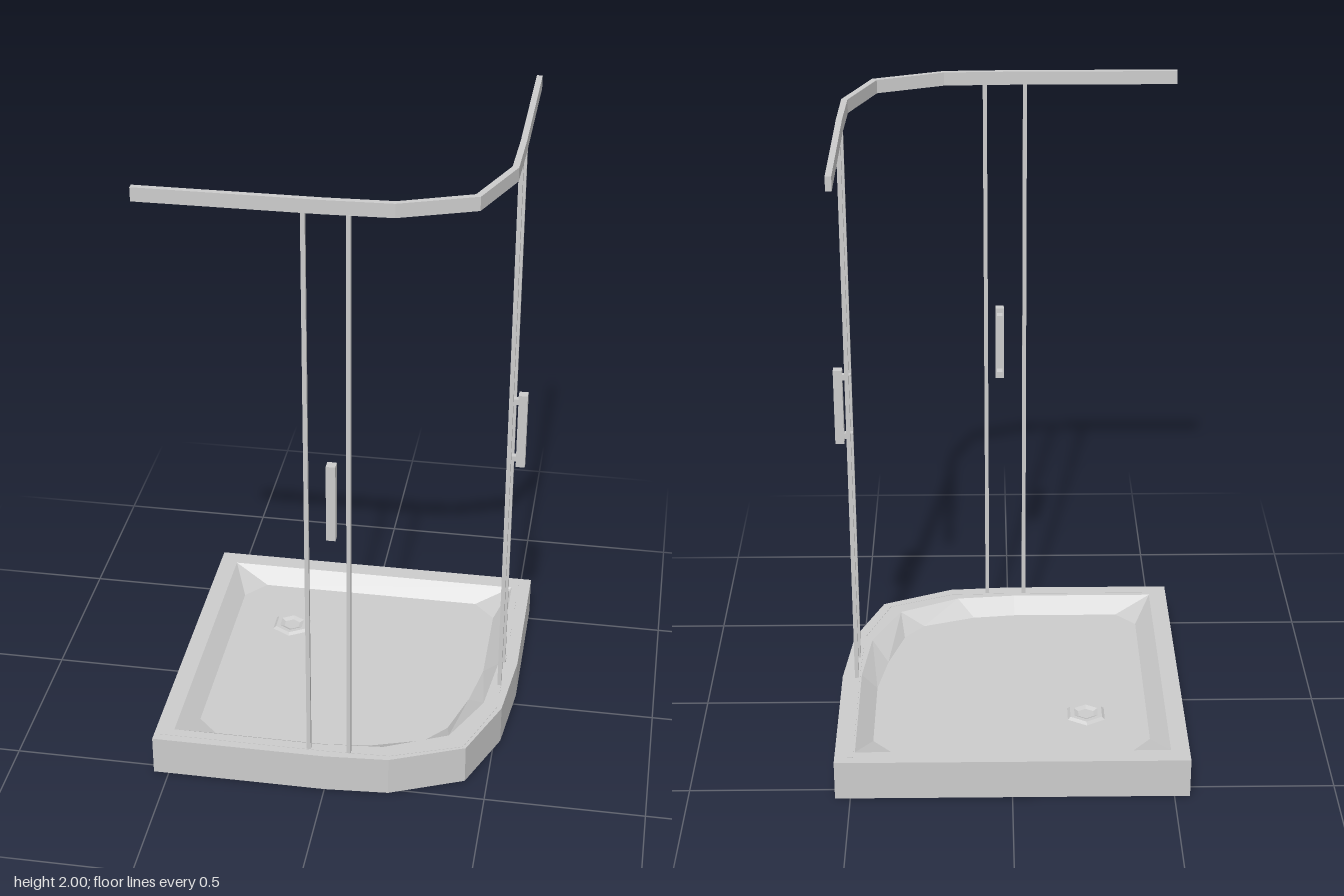
import * as THREE from 'three';

const material = new THREE.MeshStandardMaterial({ color: 0xcccccc, flatShading: true });

function add(parent, name, geometry, x = 0, y = 0, z = 0) {
  const mesh = new THREE.Mesh(geometry, material);
  mesh.name = name;
  mesh.position.set(x, y, z);
  parent.add(mesh);
  return mesh;
}

// Joins matching rings of [x, z] points, each at its own height
function loft(rings) {
  const pos = [];
  const a = new THREE.Vector3(), b = new THREE.Vector3();
  const tri = (p, q, r) => {
    a.subVectors(q, p);
    b.subVectors(r, p);
    if (a.cross(b).lengthSq() < 1e-12) return;
    for (const v of [p, q, r]) pos.push(v.x, v.y, v.z);
  };
  const loops = rings.map(([y, pts]) => pts.map(([x, z]) => new THREE.Vector3(x, y, z)));
  for (let k = 0; k < loops.length - 1; k++) {
    const lo = loops[k], hi = loops[k + 1];
    for (let i = 0; i < lo.length; i++) {
      const j = (i + 1) % lo.length;
      tri(lo[i], hi[i], lo[j]);
      tri(lo[j], hi[i], hi[j]);
    }
  }
  const geometry = new THREE.BufferGeometry();
  geometry.setAttribute('position', new THREE.Float32BufferAttribute(pos, 3));
  geometry.computeVertexNormals();
  return geometry;
}

// Extrudes a plan outline of [x, z] points upwards
function extrudePlan(points, height) {
  const shape = new THREE.Shape(points.map(([x, z]) => new THREE.Vector2(x, -z)));
  return new THREE.ExtrudeGeometry(shape, { depth: height, bevelEnabled: false }).rotateX(-Math.PI / 2);
}

// Grip on two posts, projecting along +z
function makeHandle(name) {
  const handle = new THREE.Group();
  handle.name = name;
  add(handle, 'grip', new THREE.BoxGeometry(0.028, 0.25, 0.028), 0, 1.065, 0.533);
  for (const y of [0.965, 1.165]) {
    add(handle, 'handlePost', new THREE.BoxGeometry(0.018, 0.018, 0.03), 0, y, 0.507);
  }
  return handle;
}

export function createModel() {
  const model = new THREE.Group();
  model.name = 'showerEnclosure';
  const trayTop = 0.13, floorY = 0.085;

  // Tray with a curved corner and a sunken floor; repeated points fan out to the floor chamfers
  const outer = [[-0.548, -0.548], [-0.548, -0.548], [0.547, -0.548], [0.547, -0.548], [0.547, -0.05],
    [0.52, 0.2], [0.43, 0.42], [0.43, 0.42], [0.2, 0.517], [0, 0.531], [-0.548, 0.531], [-0.548, 0.531]];
  const rim = [[-0.49, -0.49], [-0.49, -0.49], [0.485, -0.49], [0.485, -0.49], [0.485, -0.04],
    [0.46, 0.18], [0.37, 0.365], [0.37, 0.365], [0.175, 0.455], [-0.02, 0.473], [-0.49, 0.473], [-0.49, 0.473]];
  const floor = [[-0.435, -0.36], [-0.37, -0.435], [0.365, -0.435], [0.435, -0.36], [0.435, -0.05],
    [0.405, 0.11], [0.355, 0.27], [0.29, 0.345], [0.12, 0.4], [-0.02, 0.415], [-0.37, 0.415], [-0.435, 0.35]];
  const centre = outer.map(() => [0, 0]);
  add(model, 'tray', loft([[0, centre], [0, outer], [trayTop, outer], [trayTop, rim], [floorY, floor], [floorY, centre]]));

  // Six-sided drain ring with a dished middle
  const drain = [[0.068, 0], [0.058, 0.008], [0.043, 0.008], [0.028, 0.001], [0, 0.001]];
  add(model, 'drain', new THREE.LatheGeometry(drain.map(([r, y]) => new THREE.Vector2(r, y)), 6), -0.24, floorY, -0.213);

  // Top rail and low bottom track follow the same bend
  const railOuter = [[0.508, -0.52], [0.508, 0], [0.504, 0.2], [0.421, 0.415], [0.2, 0.498], [0, 0.505], [-0.53, 0.505]];
  const railInner = [[0.49, -0.52], [0.49, 0], [0.485, 0.195], [0.406, 0.4], [0.2, 0.48], [0, 0.487], [-0.53, 0.487]];
  const railPlan = [...railOuter, ...railInner.reverse()];
  add(model, 'topRail', extrudePlan(railPlan, 0.042), 0, 1.958, 0);
  add(model, 'bottomTrack', extrudePlan(railPlan, 0.003), 0, trayTop - 0.002, 0);

  // Door edge posts on both sides of the corner
  const postHeight = 1.96 - trayTop;
  for (const t of [-0.053, 0.073]) {
    const post = new THREE.BoxGeometry(0.013, postHeight, 0.013);
    add(model, 'frontDoorPost', post, t, trayTop + postHeight / 2, 0.497);
    add(model, 'sideDoorPost', post, 0.5, trayTop + postHeight / 2, t);
  }

  // Handles
  const front = makeHandle('frontHandle');
  front.position.x = 0.028;
  const side = makeHandle('sideHandle');
  side.rotation.y = Math.PI / 2;
  side.position.z = 0.03;
  model.add(front, side);

  return model;
}
